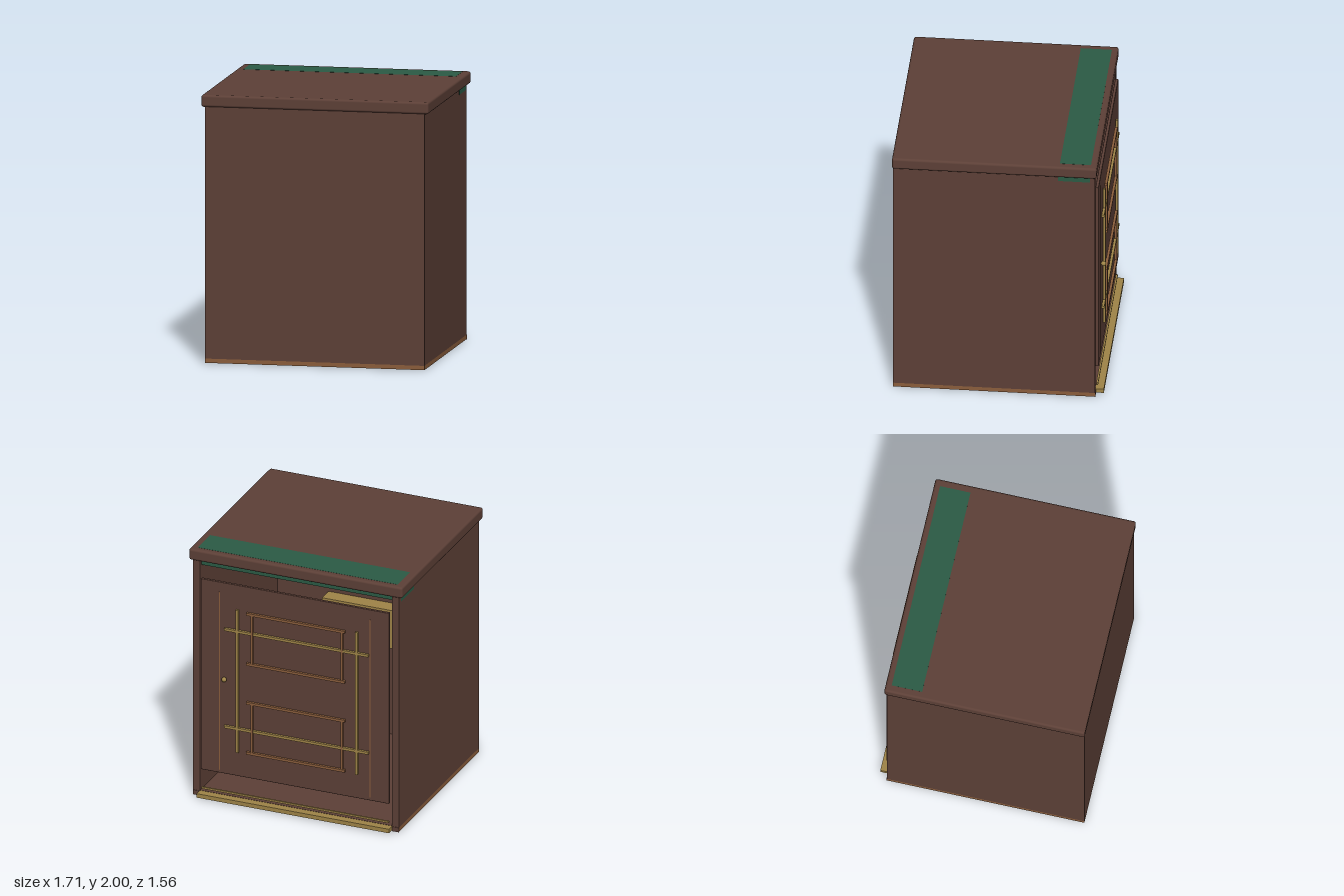
import * as THREE from 'three';
import { RoundedBoxGeometry } from 'three/addons/geometries/RoundedBoxGeometry.js';

const mat = (name, color) => {
  const m = new THREE.MeshStandardMaterial({ color });
  m.name = name;
  return m;
};

export function createModel() {
  const brown = mat('dark wood', 0x5d4037);
  const copper = mat('light wood', 0x8b5e3c);
  const gold = mat('brass', 0xa08548);
  const green = mat('green paint', 0x2b5b45);

  const model = new THREE.Group();
  model.name = 'cabinet';

  // Box given by its minimum and maximum on each axis
  function box(name, m, [x0, x1], [y0, y1], [z0, z1], parent = model, radius = 0) {
    const size = [x1 - x0, y1 - y0, z1 - z0];
    const geo = radius ? new RoundedBoxGeometry(...size, 2, radius) : new THREE.BoxGeometry(...size);
    const mesh = new THREE.Mesh(geo, m);
    mesh.name = name;
    mesh.position.set((x0 + x1) / 2, (y0 + y1) / 2, (z0 + z1) / 2);
    parent.add(mesh);
    return mesh;
  }

  // Hollow body, open at -z
  box('floorSlab', copper, [-0.825, 0.825], [0.004, 0.036], [-0.72, 0.77]);
  box('floorCovering', brown, [-0.77, 0.77], [0.036, 0.042], [-0.72, 0.72]);
  box('frontWall', brown, [-0.825, 0.825], [0.036, 1.92], [0.72, 0.77]);
  for (const s of [-1, 1]) {
    const a = s * 0.77, b = s * 0.825;
    const name = s > 0 ? 'leftWall' : 'rightWall';
    box(name, brown, [Math.min(a, b), Math.max(a, b)], [0.036, 1.92], [-0.72, 0.72]);
    box(name + 'End', brown, [Math.min(a, b), Math.max(a, b)], [0, 0.036], [-0.724, -0.719]);
    // Green plates at the top of the walls
    box('sidePlate', green, [s * 0.825 - 0.002, s * 0.825 + 0.002], [1.865, 1.91], [-0.685, -0.45]);
  }

  // Top with its green band, and the beam below it
  box('top', brown, [-0.855, 0.855], [1.91, 2], [-0.735, 0.778], model, 0.018);
  box('topBand', green, [-0.8, 0.8], [1.997, 2.001], [-0.69, -0.46]);
  box('headerBeam', green, [-0.77, 0.77], [1.867, 1.912], [-0.69, -0.45]);

  // Threshold
  box('sill', gold, [-0.772, 0.772], [0.008, 0.04], [-0.782, -0.7]);
  box('thresholdBar', gold, [-0.75, 0.75], [0.066, 0.08], [-0.738, -0.724]);

  // Panel inside on the front wall
  box('innerPanel', gold, [-0.36, 0.36], [0.8, 1.11], [0.6, 0.72]);

  // Door
  const door = new THREE.Group();
  door.name = 'door';
  model.add(door);
  box('doorPanel', brown, [-0.755, 0.755], [0.225, 1.78], [-0.742, -0.718], door, 0.005);
  for (const x of [-0.603, 0.603])
    box('edgeStrip', copper, [x - 0.004, x + 0.004], [0.25, 1.7], [-0.744, -0.74], door);

  // Brass lattice
  for (const x of [-0.5, 0.455])
    box('latticeUpright', gold, [x - 0.01, x + 0.01], [0.425, 1.585], [-0.765, -0.745], door);
  for (const y of [0.617, 1.41])
    box('latticeRail', gold, [-0.595, 0.56], [y - 0.01, y + 0.01], [-0.765, -0.745], door);

  // Two raised wooden frames
  for (const [low, high] of [[0.438, 0.845], [1.162, 1.57]]) {
    for (const y of [low, high])
      box('frameRail', copper, [-0.41, 0.38], [y - 0.01, y + 0.01], [-0.77, -0.75], door);
    for (const x of [-0.385, 0.335])
      box('frameStile', copper, [x - 0.008, x + 0.008], [low, high], [-0.768, -0.75], door);
  }

  // Knob
  const knob = new THREE.Mesh(new THREE.SphereGeometry(0.019, 16, 12), gold);
  knob.name = 'knob';
  knob.position.set(0.56, 1, -0.76);
  door.add(knob);

  return model;
}
